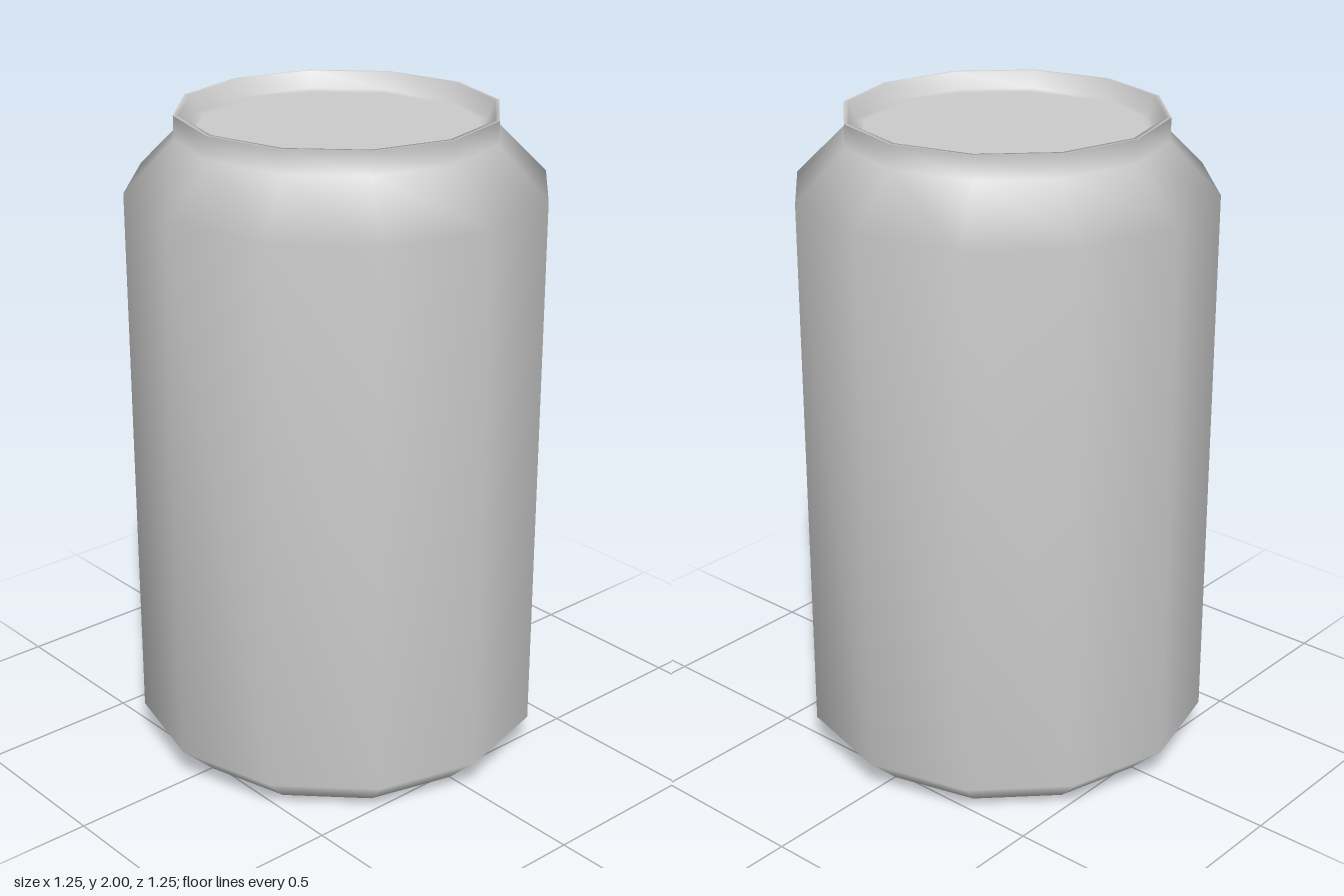
import * as THREE from 'three';
import { mergeVertices } from 'three/addons/utils/BufferGeometryUtils.js';

const SIDES = 12;
const material = new THREE.MeshStandardMaterial({ color: 0xcccccc });

// Revolve a profile with few sides, welded so that the normals are smooth
function revolve(name, profile) {
  const lathe = new THREE.LatheGeometry(profile.map(([r, y]) => new THREE.Vector2(r, y)), SIDES);
  lathe.deleteAttribute('uv');
  lathe.deleteAttribute('normal');
  const geometry = mergeVertices(lathe, 1e-4);
  geometry.computeVertexNormals();
  const mesh = new THREE.Mesh(geometry, material);
  mesh.name = name;
  return mesh;
}

export function createModel() {
  const can = new THREE.Group();
  can.name = 'can';

  // Recessed underside
  can.add(revolve('base', [[0, 0.07], [0.25, 0.06], [0.42, 0.04], [0.47, 0]]));

  // Foot ring, lower bevel, wall, shoulder, neck
  can.add(revolve('body', [
    [0.47, 0], [0.52, 0], [0.627, 0.1], [0.627, 1.78], [0.478, 1.93], [0.478, 2],
  ]));

  // Rim and sunken lid
  can.add(revolve('lid', [[0.478, 2], [0.463, 2], [0.445, 1.95], [0.42, 1.945], [0, 1.945]]));

  return can;
}
